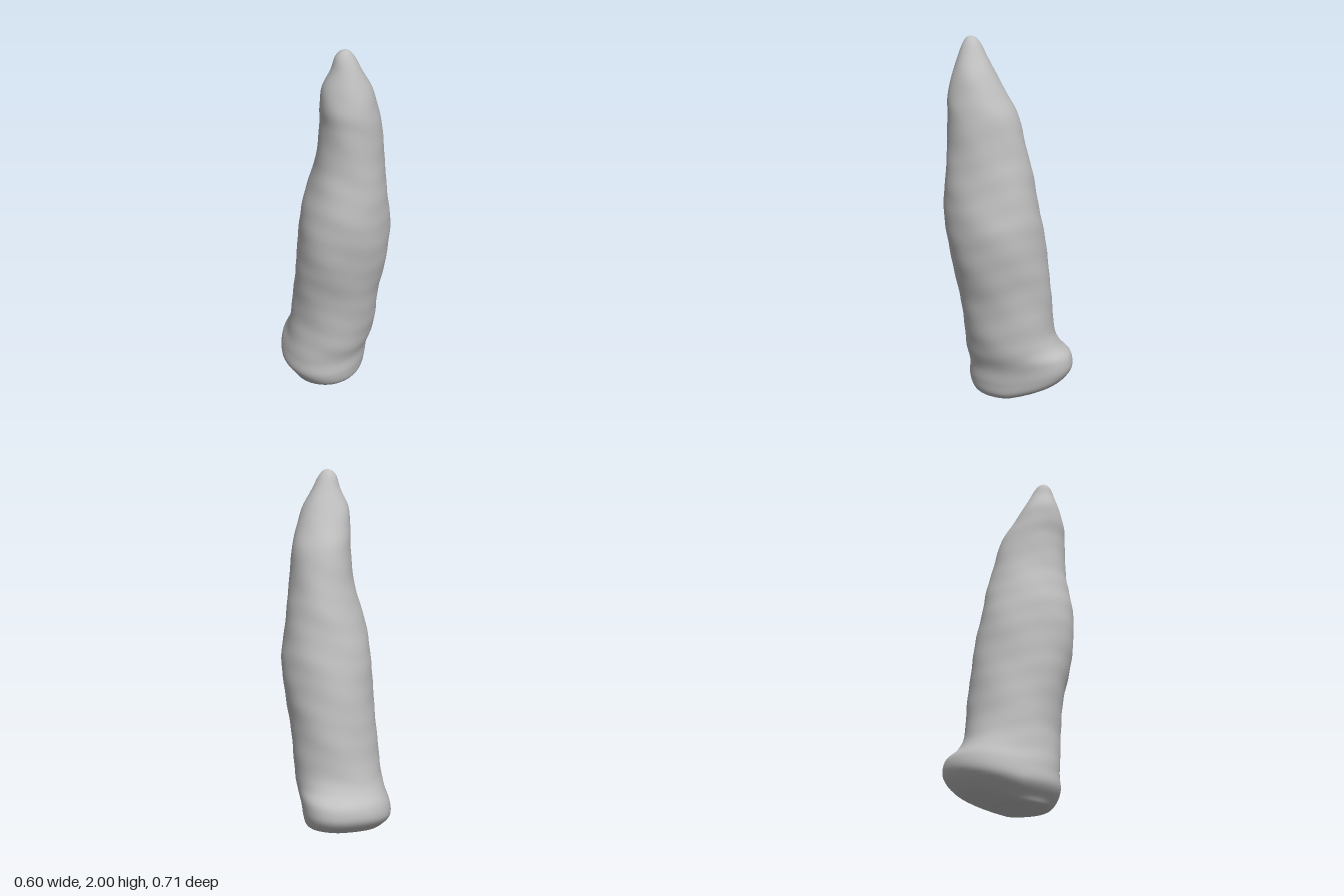
import * as THREE from 'three';

// Cross-sections from the underside to the tip: centre/half-width pairs are derived from these limits
const heights = [0.03, 0.0, 0.035, 0.1, 0.18, 0.28, 0.4, 0.6, 0.8, 1.0, 1.15, 1.28, 1.4, 1.6, 1.7, 1.8, 1.9, 1.965, 1.992, 2.0];
const left = [-0.03, -0.19, -0.25, -0.3, -0.295, -0.265, -0.24, -0.22, -0.205, -0.19, -0.165, -0.13, -0.1, -0.08, -0.08, -0.07, -0.025, -0.005, 0.02, 0.0445];
const right = [-0.028, 0.08, 0.165, 0.185, 0.195, 0.22, 0.24, 0.255, 0.285, 0.3, 0.285, 0.27, 0.255, 0.235, 0.21, 0.18, 0.125, 0.09, 0.065, 0.0455];
const back = [-0.02, -0.08, -0.27, -0.34, -0.335, -0.285, -0.25, -0.23, -0.21, -0.185, -0.155, -0.13, -0.1, -0.05, 0.005, 0.06, 0.115, 0.15, 0.175, 0.1995];
const front = [-0.018, 0.15, 0.21, 0.235, 0.232, 0.243, 0.25, 0.275, 0.315, 0.34, 0.345, 0.335, 0.325, 0.32, 0.318, 0.295, 0.265, 0.24, 0.22, 0.2005];

const SIDES = 64;
const RINGS = 120;

function curve(xs, ys) {
  return new THREE.CatmullRomCurve3(heights.map((y, i) => new THREE.Vector3(xs[i], y, ys[i])), false, 'centripetal');
}

// Soft swelling of the outline towards one direction
const bulge = (angle, direction) => Math.max(0, Math.cos(angle - direction)) ** 6;

function stalkGeometry() {
  const minimum = curve(left, back);
  const maximum = curve(right, front);
  const positions = [];
  const indices = [];
  for (let i = 0; i <= RINGS; i++) {
    const t = i / RINGS;
    const lo = minimum.getPoint(t);
    const hi = maximum.getPoint(t);
    const y = (lo.y + hi.y) / 2;
    const cx = (lo.x + hi.x) / 2;
    const cz = (lo.z + hi.z) / 2;
    const foot = 1 - THREE.MathUtils.smoothstep(y, 0.15, 0.4);
    const belly = Math.exp(-(((y - 1) / 0.35) ** 2));
    const rough = THREE.MathUtils.smoothstep(y, 0.05, 0.3) * (1 - THREE.MathUtils.smoothstep(y, 1.85, 2));
    for (let j = 0; j < SIDES; j++) {
      const a = (j / SIDES) * Math.PI * 2;
      // Uneven, gently rippled skin
      const ripple = 0.008 * Math.sin(3 * a + 9 * y) + 0.006 * Math.sin(5 * a - 17 * y)
        + 0.004 * Math.sin(46 * y + 2 * Math.sin(2 * a));
      const r = 1 + foot * (0.16 * bulge(a, -0.85) - 0.05 * bulge(a, -2.0))
        + 0.07 * belly * bulge(a, 2.3) + rough * ripple;
      const x = cx + Math.cos(a) * r * (hi.x - lo.x) / 2;
      const z = cz + Math.sin(a) * r * (hi.z - lo.z) / 2;
      // The underside rises towards the back
      const lift = foot * (0.22 * Math.max(0, -z) + 0.05 * Math.max(0, x));
      positions.push(x, Math.max(0, y + lift), z);
      if (i < RINGS) {
        const k = (j + 1) % SIDES;
        const p = i * SIDES;
        const q = p + SIDES;
        indices.push(p + j, q + j, p + k, p + k, q + j, q + k);
      }
    }
  }
  // Close the tiny openings at both ends
  for (let j = 1; j < SIDES - 1; j++) {
    const top = RINGS * SIDES;
    indices.push(0, j, j + 1, top, top + j + 1, top + j);
  }
  const geometry = new THREE.BufferGeometry();
  geometry.setAttribute('position', new THREE.Float32BufferAttribute(positions, 3));
  geometry.setIndex(indices);
  geometry.computeVertexNormals();
  return geometry;
}

export function createModel() {
  const group = new THREE.Group();
  group.name = 'taperedStone';
  const grey = new THREE.MeshStandardMaterial({ color: 0xbfbfbf });
  grey.name = 'stone grey';
  const body = new THREE.Mesh(stalkGeometry(), grey);
  body.name = 'stoneBody';
  group.add(body);
  return group;
}
